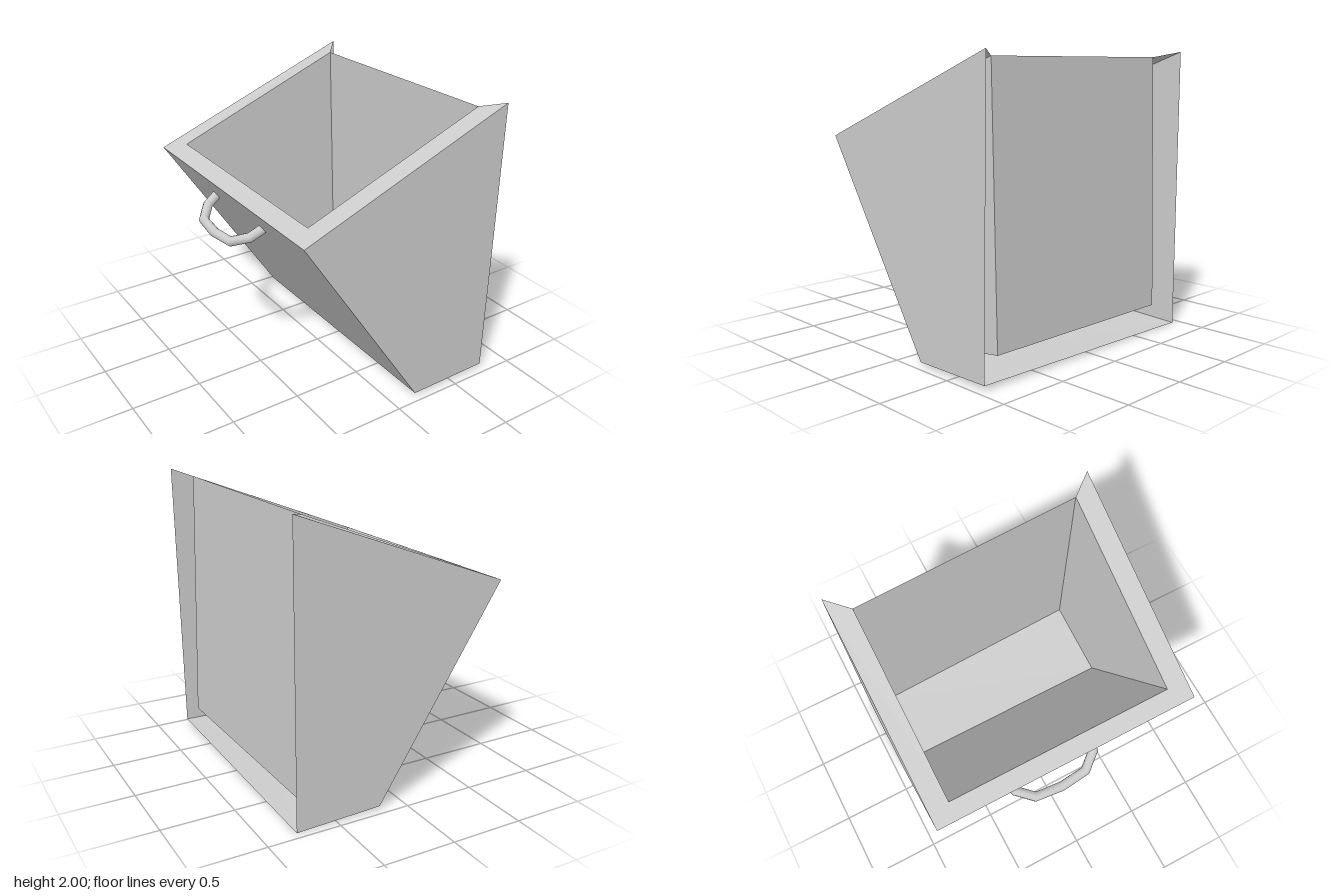
import * as THREE from 'three';

const material = new THREE.MeshStandardMaterial({
  color: 0xcccccc, flatShading: true, side: THREE.DoubleSide,
});

// A thin panel from four corners, counter-clockwise seen from its front
function panel(name, a, b, c, d) {
  const geometry = new THREE.BufferGeometry();
  const corners = [a, b, c, a, c, d].flat();
  geometry.setAttribute('position', new THREE.Float32BufferAttribute(corners, 3));
  geometry.computeVertexNormals();
  const mesh = new THREE.Mesh(geometry, material);
  mesh.name = name;
  return mesh;
}

// Cross-sections of the bin: lip, foot, back foot, back top
const section = (points, z) => points.map(([x, y]) => [x, y, z]);
const outerNear = section([[-0.72, 1.41], [0.18, 0.02], [0.78, 0.03], [0.803, 2.0]], 0.945);
const outerFar = section([[-0.72, 1.41], [0.18, 0.02], [0.78, 0.0], [0.78, 1.975]], -0.945);
const innerNear = section([[-0.6, 1.457], [0.18, 0.095], [0.74, 0.17], [0.69, 1.957]], 0.8);
const innerFar = section([[-0.6, 1.457], [0.18, 0.095], [0.70, 0.148], [0.65, 1.938]], -0.8);

export function createModel() {
  const group = new THREE.Group();
  group.name = 'bin';

  // Outer shell, open at the back (+x)
  const shell = new THREE.Group();
  shell.name = 'outerShell';
  shell.add(
    panel('outerSideNear', ...outerNear),
    panel('outerSideFar', ...[...outerFar].reverse()),
    panel('slopedFace', outerNear[0], outerFar[0], outerFar[1], outerNear[1]),
    panel('base', outerNear[1], outerFar[1], outerFar[2], outerNear[2]),
  );

  // Inner liner, open at the top
  const liner = new THREE.Group();
  liner.name = 'innerLiner';
  liner.add(
    panel('innerSideNear', ...[...innerNear].reverse()),
    panel('innerSideFar', ...innerFar),
    panel('innerSlope', innerNear[0], innerNear[1], innerFar[1], innerFar[0]),
    panel('innerFloor', innerNear[1], innerNear[2], innerFar[2], innerFar[1]),
    panel('backPanel', innerNear[2], innerFar[2], innerFar[3], innerNear[3]),
  );

  // Rim joining shell and liner on three sides
  const rim = new THREE.Group();
  rim.name = 'rim';
  rim.add(
    panel('rimNear', outerNear[0], outerNear[3], innerNear[3], innerNear[0]),
    panel('rimFar', outerFar[3], outerFar[0], innerFar[0], innerFar[3]),
    panel('rimLip', outerFar[0], outerNear[0], innerNear[0], innerFar[0]),
  );

  // Curved pull handle: [distance out of the sloped face, sideways offset]
  const half = [[-0.01, 0.32], [0.1, 0.295], [0.2, 0.19]];
  const path = [
    ...half, [0.22, 0], ...half.map(([d, z]) => [d, -z]).reverse(),
  ].map(([d, z]) => new THREE.Vector3(-0.585 - 0.87 * d, 1.215 - 0.5 * d, z - 0.07));
  const curve = new THREE.CatmullRomCurve3(path);
  // Place the tube rings exactly on the path points
  curve.getPointAt = curve.getPoint;
  curve.getTangentAt = curve.getTangent;
  const handle = new THREE.Mesh(
    new THREE.TubeGeometry(curve, path.length - 1, 0.034, 10),
    new THREE.MeshStandardMaterial({ color: 0xcccccc, side: THREE.DoubleSide }),
  );
  handle.name = 'handle';

  group.add(shell, liner, rim, handle);
  return group;
}
